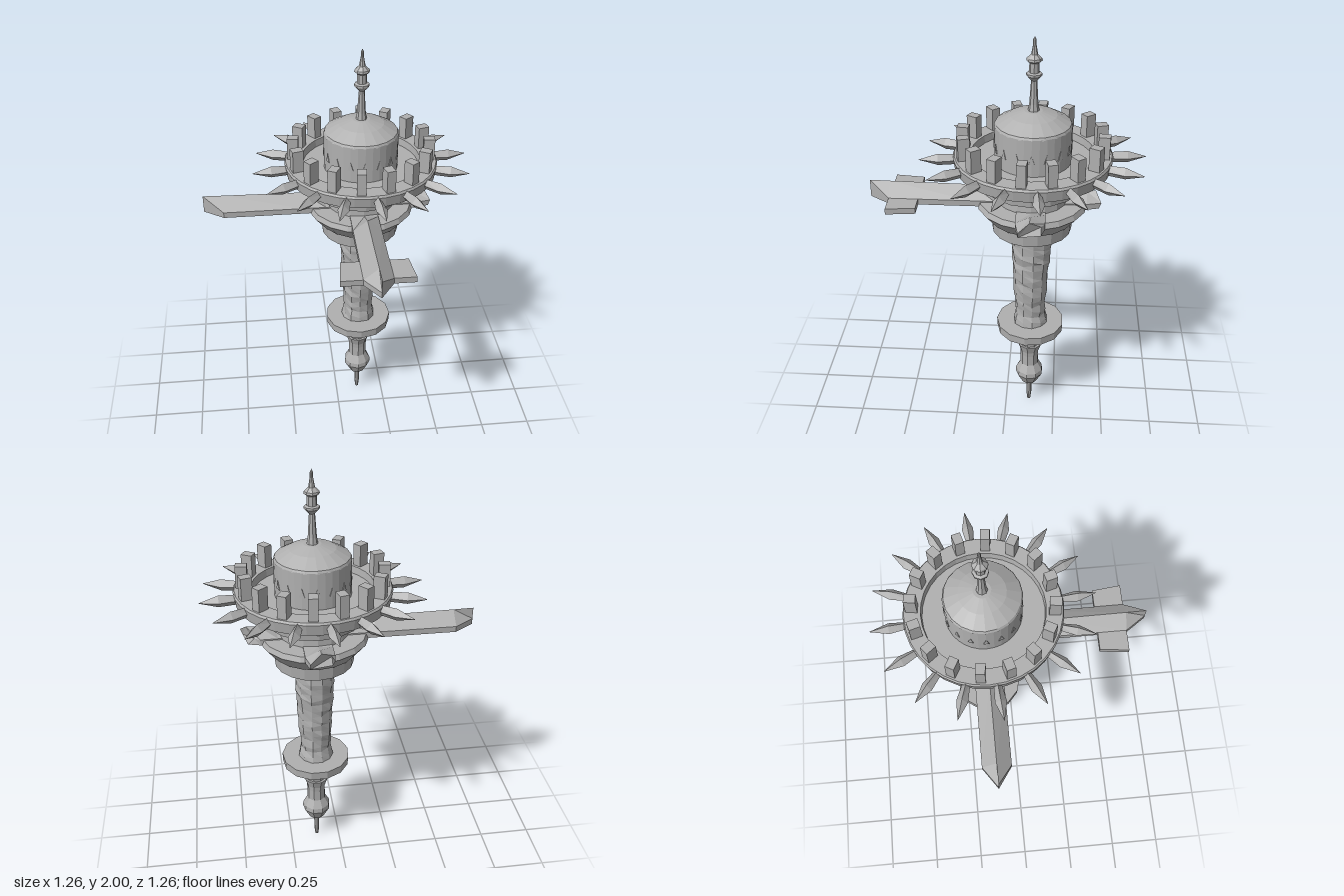
import * as THREE from 'three';

const stone = new THREE.MeshStandardMaterial({ color: 0xb0b0b0, flatShading: true });
stone.name = 'grey stone';

const hash = (a, b) => {
  const s = Math.sin(a * 127.1 + b * 311.7) * 43758.5453;
  return s - Math.floor(s);
};

// Solid of revolution, profile listed from bottom to top as [radius, y]
function turned(name, profile, sides) {
  const geo = new THREE.LatheGeometry(profile.map(([r, y]) => new THREE.Vector2(r, y)), sides);
  const mesh = new THREE.Mesh(geo, stone);
  mesh.name = name;
  return mesh;
}

// Closed solid through matching rings of [x, y, z], each counter-clockwise seen from +z
function loft(name, rings) {
  const n = rings[0].length;
  const pos = [];
  const tri = (a, b, c) => pos.push(...a, ...b, ...c);
  for (let i = 0; i < rings.length - 1; i++) {
    for (let j = 0; j < n; j++) {
      const k = (j + 1) % n;
      tri(rings[i][j], rings[i][k], rings[i + 1][k]);
      tri(rings[i][j], rings[i + 1][k], rings[i + 1][j]);
    }
  }
  const first = rings[0], last = rings[rings.length - 1];
  for (let j = 1; j < n - 1; j++) {
    tri(first[0], first[j + 1], first[j]);
    tri(last[0], last[j], last[j + 1]);
  }
  const geo = new THREE.BufferGeometry();
  geo.setAttribute('position', new THREE.Float32BufferAttribute(pos, 3));
  geo.computeVertexNormals();
  const mesh = new THREE.Mesh(geo, stone);
  mesh.name = name;
  return mesh;
}

// Ridged arm section: flat underside, upright sides and a roof-like top
const armRing = (d, w, ridge, jag = 0) => [
  [-w, 1.215, d], [w, 1.215, d - jag * 0.4], [w, 1.243, d - jag],
  [0, ridge, d - jag * 0.3], [-w, 1.243, d + jag * 0.2],
];

function arm(name, angle, broken) {
  const inner = [armRing(0.12, 0.066, 1.244), armRing(0.17, 0.066, 1.246)];
  const outer = broken
    ? [armRing(0.25, 0.066, 1.275), armRing(broken, 0.05, 1.28, 0.05)]
    : [armRing(0.28, 0.066, 1.293), armRing(0.655, 0.066, 1.298), armRing(0.75, 0, 1.3)];
  const mesh = loft(name, [...inner, ...outer]);
  mesh.rotation.y = angle;
  return mesh;
}

// Hewn shaft with irregular facets
function roughShaft() {
  const sides = 11, rows = 18, profile = [];
  for (let j = 0; j <= rows; j++) {
    const t = j / rows;
    const flare = Math.max(0, 1 - t * 9) * 0.016;
    profile.push([0.068 + 0.032 * Math.pow(t, 0.8) + flare, 0.53 + 0.56 * t]);
  }
  const mesh = turned('roughShaft', profile, sides);
  const p = mesh.geometry.attributes.position;
  for (let v = 0; v < p.count; v++) {
    const col = Math.floor(v / (rows + 1)) % sides, row = v % (rows + 1);
    const k = 0.94 + 0.11 * hash(col + 1, row + 1);
    const dy = row > 0 && row < rows ? (hash(col + 31, row + 7) - 0.5) * 0.018 : 0;
    p.setXYZ(v, p.getX(v) * k, p.getY(v) + dy, p.getZ(v) * k);
  }
  mesh.geometry.computeVertexNormals();
  return mesh;
}

export function createModel() {
  const model = new THREE.Group();
  model.name = 'floatingTower';
  const tower = new THREE.Group();
  tower.name = 'tower';
  tower.position.set(0.115, 0, -0.12);
  model.add(tower);

  // Lower stem, from bottom spike up to the small ring
  tower.add(
    turned('bottomSpike', [[0, 0], [0.008, 0.005], [0.013, 0.05], [0.013, 0.15]], 8),
    turned('bulb', [[0, 0.138], [0.04, 0.138], [0.07, 0.195], [0.068, 0.22], [0.046, 0.262], [0.046, 0.32]], 9),
    turned('stemCollar', [[0.044, 0.3], [0.048, 0.345], [0.062, 0.388], [0.045, 0.385]], 9),
    turned('lowerStem', [[0.046, 0.37], [0.05, 0.4], [0.07, 0.5]], 9),
    turned('lowerRing', [[0, 0.493], [0.164, 0.493], [0.166, 0.535], [0, 0.535]], 13),
    roughShaft(),
  );

  // Guard bowl and neck
  tower.add(
    turned('collar', [[0, 1.08], [0.185, 1.08], [0.192, 1.15], [0.15, 1.15]], 18),
    turned('guardBowl', [[0.17, 1.135], [0.2, 1.145], [0.255, 1.212], [0.245, 1.237], [0, 1.237]], 18),
    turned('neck', [[0.165, 1.23], [0.16, 1.31]], 16),
    turned('cup', [[0.155, 1.3], [0.225, 1.308], [0.228, 1.335], [0.165, 1.405]], 16),
  );

  // Four arms, two of them broken off short
  tower.add(
    arm('rightArm', -Math.PI / 2),
    arm('frontArm', 0),
    arm('leftBrokenArm', Math.PI / 2, 0.325),
    arm('backBrokenArm', Math.PI, 0.305),
  );
  const bar = [[0.15, 0.52], [0.165, 0.655], [-0.165, 0.655], [-0.15, 0.52]];
  tower.add(loft('frontArmCrossbar', [0.52, 0.655].map((d, i) => {
    const w = bar[i][0];
    return [[-w, 1.215, d], [w, 1.215, d], [w, 1.243, d], [-w, 1.243, d]];
  })));

  // Platform with a raised rim
  tower.add(turned('platform',
    [[0, 1.405], [0.35, 1.405], [0.358, 1.455], [0.352, 1.465], [0.278, 1.465], [0.274, 1.43], [0, 1.43]], 32));

  // Rim blades, battlements and window plates, sixteen of each
  const bladeRing = (d, w, h) => [[0, 1.436 - h, -d], [w, 1.436, -d], [0, 1.436 + h, -d], [-w, 1.436, -d]];
  const windowShape = new THREE.Shape();
  windowShape.moveTo(-0.013, 0).lineTo(0.013, 0).lineTo(0, 0.042);
  const windowGeo = new THREE.ExtrudeGeometry(windowShape, { depth: 0.006, bevelEnabled: false });
  const merlonGeo = new THREE.BoxGeometry(0.042, 0.11, 0.052);
  for (let i = 0; i < 16; i++) {
    const step = i * Math.PI / 8;
    const blade = loft('rimBlade', [
      bladeRing(0.51, 0.001, 0.001), bladeRing(0.425, 0.026, 0.028), bladeRing(0.335, 0.016, 0.024),
    ]);
    blade.rotation.y = 0.096 - step;

    const battlement = new THREE.Group();
    battlement.name = 'battlement';
    battlement.rotation.y = -0.11 - step;
    const merlon = new THREE.Mesh(merlonGeo, stone);
    merlon.name = 'merlon';
    merlon.position.set(0, 1.515, -0.316);
    battlement.add(merlon);

    const opening = new THREE.Group();
    opening.name = 'drumWindow';
    opening.rotation.y = step;
    const plate = new THREE.Mesh(windowGeo, stone);
    plate.name = 'windowPlate';
    plate.position.set(0, 1.49, 0.169);
    opening.add(plate);
    tower.add(blade, battlement, opening);
  }

  // Domed keep and spire
  tower.add(
    turned('keep', [[0.173, 1.42], [0.173, 1.603]], 32),
    turned('domeRoof', [[0.174, 1.6], [0.168, 1.612], [0.105, 1.648], [0.04, 1.668], [0, 1.67]], 20),
    turned('spireShaft', [[0.026, 1.665], [0.02, 1.7], [0.013, 1.81]], 8),
    turned('spireLantern', [[0.013, 1.805], [0.035, 1.828], [0.035, 1.838], [0.022, 1.842], [0.022, 1.885],
      [0.035, 1.895], [0.033, 1.905], [0.015, 1.922]], 8),
    turned('spireTip', [[0.015, 1.92], [0.007, 1.965], [0.007, 1.985], [0, 2]], 8),
  );
  return model;
}
